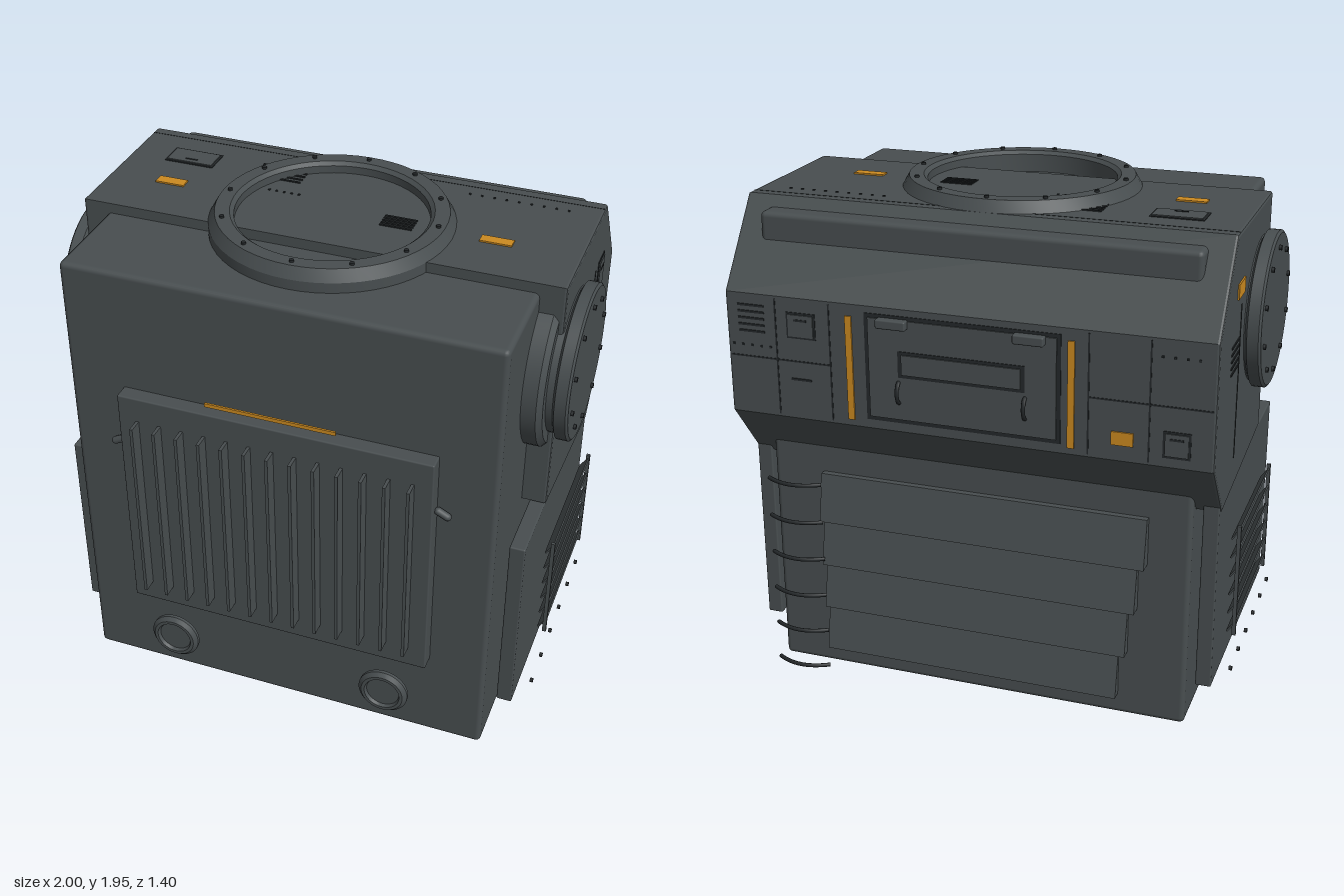
import * as THREE from 'three';
import { toCreasedNormals } from 'three/addons/utils/BufferGeometryUtils.js';
import { RoundedBoxGeometry } from 'three/addons/geometries/RoundedBoxGeometry.js';

const mat = (name, color) => {
  const m = new THREE.MeshStandardMaterial({ color });
  m.name = name;
  return m;
};

export function createModel() {
  const root = new THREE.Group();
  root.name = 'machineryCabinet';
  const steel = mat('darkSteel', 0x484e50);
  const dark = mat('blackSteel', 0x24282a);
  const orange = mat('orangePaint', 0xcc8a20);

  const add = (name, geo, material = steel) => {
    const m = new THREE.Mesh(geo, material);
    m.name = name;
    root.add(m);
    return m;
  };
  // Box from its limits on each axis
  const box = (name, x0, x1, y0, y1, z0, z1, material = steel, r = 0) => {
    const s = [Math.abs(x1 - x0), Math.abs(y1 - y0), Math.abs(z1 - z0)];
    const g = r ? new RoundedBoxGeometry(...s, 2, r) : new THREE.BoxGeometry(...s);
    return add(name, g.translate((x0 + x1) / 2, (y0 + y1) / 2, (z0 + z1) / 2), material);
  };
  // Side profile of [z, y] points extruded along x
  const extrudeX = (name, pts, x0, x1, bevel = 0) => {
    const shape = new THREE.Shape(pts.map(p => new THREE.Vector2(...p)));
    const g = new THREE.ExtrudeGeometry(shape, {
      depth: x1 - x0 - 2 * bevel, bevelEnabled: bevel > 0, bevelSize: bevel,
      bevelThickness: bevel, bevelOffset: -bevel, bevelSegments: 2,
    });
    return add(name, g.rotateY(-Math.PI / 2).translate(x1 - bevel, 0, 0));
  };
  const lathe = pts => toCreasedNormals(
    new THREE.LatheGeometry(pts.map(p => new THREE.Vector2(...p)), 56), 0.4);
  // Bolt head whose axis is turned to x, y or z
  const bolt = (axis, x, y, z, r = 0.009, h = 0.012) => {
    const g = new THREE.CylinderGeometry(r, r, h, 10);
    if (axis === 'x') g.rotateZ(Math.PI / 2);
    if (axis === 'z') g.rotateX(Math.PI / 2);
    add('bolt', g.translate(x, y, z), dark);
  };

  // Main body
  box('mainBody', -0.83, 0.83, 0.005, 1.86, -0.545, 0.585, steel, 0.02);

  // Angled upper housing
  extrudeX('upperHousing', [[0.195, 0.955], [-0.49, 0.885], [-0.67, 1.115],
    [-0.67, 1.585], [-0.44, 1.9], [0.195, 1.9]], -0.925, 0.925, 0.01);

  // Roof ring with bolts
  add('roofRing', lathe([[0.455, 1.85], [0.455, 1.9], [0.43, 1.943], [0.375, 1.943],
    [0.36, 1.93], [0.36, 1.85]]).translate(0, 0, 0.015));
  for (let i = 0; i < 12; i++) {
    const a = i * Math.PI / 6;
    bolt('y', Math.sin(a) * 0.405, 1.945, 0.015 + Math.cos(a) * 0.405);
  }

  for (const s of [-1, 1]) {
    // Round side cover with stepped flange
    const turn = g => g.rotateZ(-s * Math.PI / 2).translate(0, 1.5, 0.02);
    add('sideFlange', turn(lathe([[0.335, 0.8], [0.335, 0.885], [0.315, 0.905], [0, 0.905]])));
    add('sideCover', turn(lathe([[0.275, 0.88], [0.275, 0.93], [0.295, 0.94],
      [0.295, 0.982], [0.285, 0.99], [0, 0.99]])));
    for (let i = 0; i < 10; i++) {
      const a = i * Math.PI / 5;
      bolt('x', s * 0.993, 1.5 + Math.cos(a) * 0.237, 0.02 + Math.sin(a) * 0.237, 0.01, 0.014);
    }

    // Lower side panel, louvre and bolt row
    box('sidePanel', s * 0.86, s * 0.92, 0.165, 0.95, -0.51, 0.48, steel, 0.006);
    for (const z of [0.213, -0.378]) {
      box('louvrePost', s * 0.965, s * 0.98, 0.33, 0.785, z - 0.006, z + 0.006);
    }
    for (let i = 0; i < 6; i++) {
      const slat = add('louvreSlat', new THREE.BoxGeometry(0.006, 0.054, 0.585));
      slat.position.set(s * 0.96, 0.36 + i * 0.0775, -0.083);
      slat.rotation.z = -s * 0.6;
      bolt('x', s * 0.97, 0.19, 0.36 - i * 0.15);
    }

    // Front lamp housing
    add('frontLamp', lathe([[0.075, 0.63], [0.1, 0.637], [0.1, 0.65], [0.085, 0.665],
      [0.072, 0.665], [0.066, 0.652], [0, 0.652]]).rotateX(Math.PI / 2).translate(s * 0.445, 0.22, 0));
    add('lampBack', new THREE.CircleGeometry(0.078, 40).rotateY(Math.PI).translate(s * 0.445, 0.22, 0.63));

    // Grille latch
    const latch = add('grilleLatch', new THREE.CapsuleGeometry(0.015, 0.04, 4, 10));
    latch.position.set(s * 0.637, 1.14, 0.605);
    latch.rotation.z = s * 1.1;
  }

  // Front grille with vertical fins
  box('grilleFrame', -0.61, 0.61, 0.395, 1.375, 0.57, 0.645, steel, 0.006);
  for (let i = 0; i < 13; i++) {
    const x = (i - 6) * 0.089;
    box('grilleFin', x - 0.006, x + 0.006, 0.485, 1.275, 0.64, 0.7);
  }
  box('frontStripe', -0.25, 0.25, 1.422, 1.437, 0.65, 0.658, orange);

  // Overlapping plates on the lower back
  for (let i = 0; i < 4; i++) {
    const top = 0.85 - i * 0.19, z = -0.57 + i * 0.006;
    extrudeX('backPlate', [[-0.54, top], [-0.54, top - 0.19], [z - 0.035, top - 0.19],
      [z, top]], -0.67 + i * 0.033, 0.62);
  }

  // Bowed ladder rungs
  for (let i = 0; i < 6; i++) {
    const y = 0.02 + i * 0.159;
    const curve = new THREE.QuadraticBezierCurve3(new THREE.Vector3(0.61, y, -0.6),
      new THREE.Vector3(0.72, y, -0.67), new THREE.Vector3(0.83, y, -0.6));
    add('ladderRung', new THREE.TubeGeometry(curve, 14, 0.008, 8), dark);
  }

  // Flat details on the roof, the rear face and the housing sides
  const faces = {
    top: (n, u0, u1, v0, v1, m, h = 0.004) => box(n, u0, u1, 1.898, 1.9 + h, v0, v1, m),
    back: (n, u0, u1, v0, v1, m, h = 0.004) => box(n, u0, u1, v0, v1, -0.67 - h, -0.668, m),
    left: (n, u0, u1, v0, v1, m, h = 0.004) => box(n, 0.923, 0.925 + h, v0, v1, u0, u1, m),
    right: (n, u0, u1, v0, v1, m, h = 0.004) => box(n, -0.923, -0.925 - h, v0, v1, u0, u1, m),
  };
  const vent = (f, u0, u1, v0, v1, n = 5) => {
    for (let i = 0; i < n; i++) {
      const v = v0 + (v1 - v0) * i / (n - 1);
      faces[f]('ventSlot', u0, u1, v - 0.004, v + 0.004, dark);
    }
  };
  const rivets = (f, u0, u1, v, n) => {
    for (let i = 0; i < n; i++) {
      const u = u0 + (u1 - u0) * i / (n - 1);
      faces[f]('rivet', u - 0.004, u + 0.004, v - 0.004, v + 0.004, dark);
    }
  };
  const hatch = (f, u0, u1, v0, v1) => {
    faces[f]('hatchRim', u0, u1, v0, v1, dark, 0.003);
    faces[f]('hatchPlate', u0 + 0.008, u1 - 0.008, v0 + 0.008, v1 - 0.008, steel, 0.007);
    const u = (u0 + u1) / 2, v = v0 + (v1 - v0) * 0.72;
    faces[f]('hatchSlot', u - 0.025, u + 0.025, v - 0.004, v + 0.004, dark, 0.009);
  };

  // Roof
  faces.top('roofMarker', -0.73, -0.615, -0.063, -0.017, orange, 0.006);
  faces.top('roofMarker', 0.55, 0.67, -0.053, -0.01, orange, 0.006);
  hatch('top', -0.775, -0.575, -0.305, -0.195);
  vent('top', -0.4, -0.21, -0.295, -0.2);
  vent('top', 0.175, 0.3, -0.072, -0.002);
  rivets('top', 0.42, 0.8, -0.34, 9);
  rivets('top', -0.3, -0.18, -0.11, 5);
  faces.top('roofSeam', -0.92, 0.92, -0.403, -0.399, dark, 0.001);

  // Rear face
  for (const x of [0.725, 0.51, -0.47, -0.69]) {
    faces.back('rearSeam', x - 0.003, x + 0.003, 1.125, 1.575, dark, 0.002);
  }
  faces.back('rearSeam', -0.915, -0.47, 1.337, 1.343, dark, 0.002);
  faces.back('rearSeam', 0.51, 0.915, 1.337, 1.343, dark, 0.002);
  vent('back', 0.77, 0.875, 1.44, 1.54);
  rivets('back', 0.75, 0.9, 1.385, 5);
  rivets('back', -0.86, -0.73, 1.52, 4);
  hatch('back', 0.565, 0.68, 1.43, 1.53);
  hatch('back', -0.84, -0.74, 1.15, 1.25);
  faces.back('rearSlot', 0.59, 0.67, 1.266, 1.274, dark);
  faces.back('rearStripe', 0.42, 0.445, 1.14, 1.54, orange, 0.006);
  faces.back('rearStripe', -0.42, -0.395, 1.14, 1.54, orange, 0.006);
  faces.back('rearMarker', -0.635, -0.555, 1.175, 1.225, orange, 0.006);

  // Rear door with hinges, name plate and handles
  faces.back('doorGap', -0.37, 0.37, 1.15, 1.56, dark, 0.003);
  faces.back('rearDoor', -0.355, 0.355, 1.165, 1.545, steel, 0.008);
  faces.back('doorPlateRim', -0.24, 0.24, 1.33, 1.43, dark, 0.011);
  faces.back('doorPlate', -0.225, 0.225, 1.342, 1.418, steel, 0.016);
  for (const s of [-1, 1]) {
    box('doorHinge', s * 0.2, s * 0.315, 1.515, 1.55, -0.705, -0.67, steel, 0.006);
    add('doorHandle', new THREE.TorusGeometry(0.04, 0.008, 8, 16, Math.PI)
      .rotateZ(Math.PI / 2).rotateY(-Math.PI / 2).scale(1, 1, 0.65)
      .translate(s * 0.24, 1.27, -0.672), dark).material.side = THREE.DoubleSide;
  }

  // Housing sides
  hatch('left', -0.465, -0.37, 1.54, 1.69);
  faces.left('sideSeam', -0.328, -0.322, 1.03, 1.68, dark, 0.002);
  rivets('left', -0.46, -0.36, 1.445, 5);
  bolt('x', 0.927, 1.68, -0.225, 0.012, 0.008);
  faces.right('sideMarker', -0.41, -0.3, 1.66, 1.715, orange, 0.006);
  vent('right', -0.47, -0.34, 1.4, 1.5);
  faces.right('sideSeam', -0.328, -0.322, 1.03, 1.62, dark, 0.002);

  return root;
}
